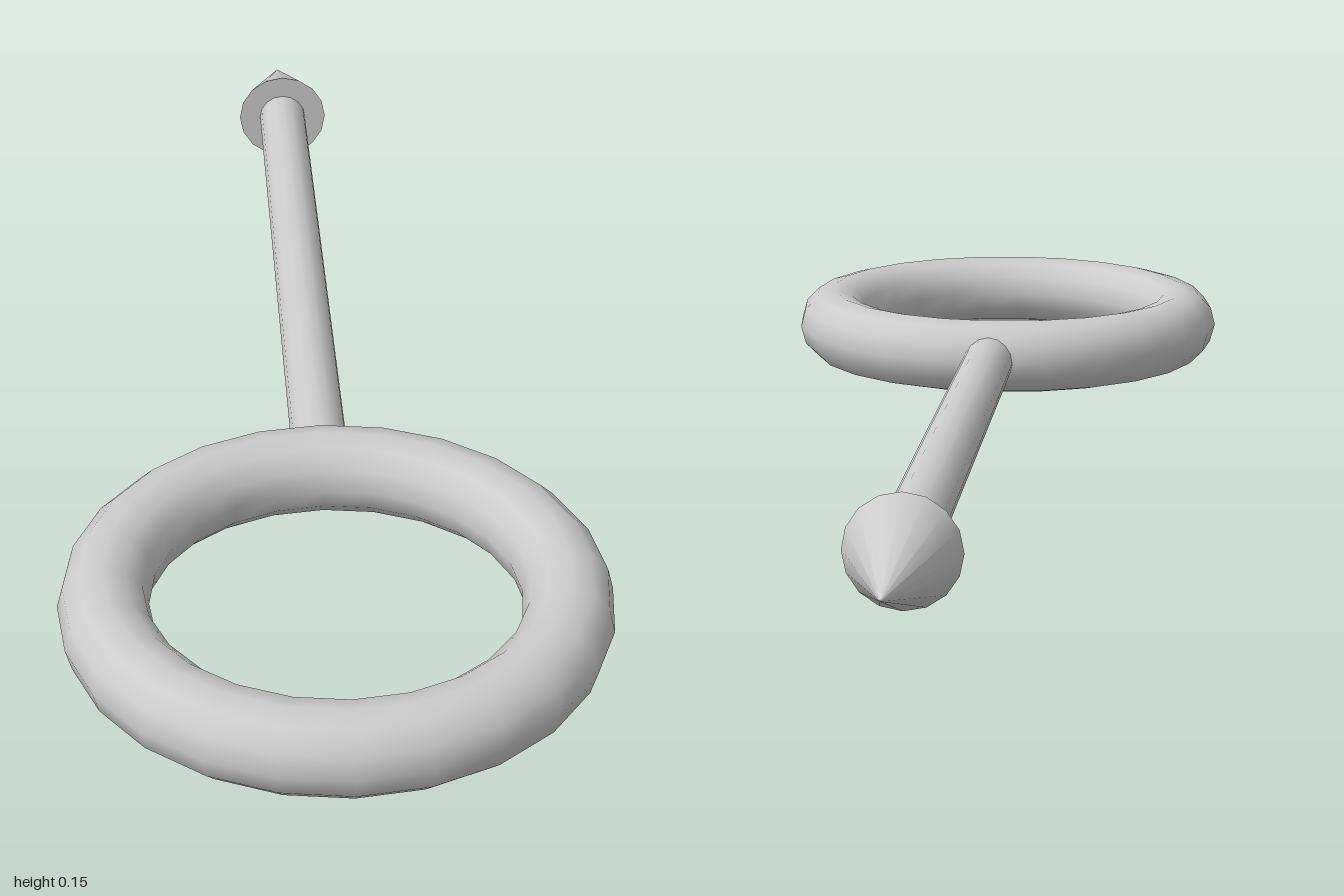
import * as THREE from 'three';

export function createModel() {
  const group = new THREE.Group();
  const material = new THREE.MeshStandardMaterial({ color: 0xcccccc });
  const axisY = 0.076;

  const addPart = (name, geometry, z) => {
    const mesh = new THREE.Mesh(geometry, material);
    mesh.name = name;
    mesh.rotation.x = -Math.PI / 2; // local +y points to the back
    mesh.position.set(0, axisY, z);
    group.add(mesh);
  };

  // Flat-lying ring handle
  addPart('ring', new THREE.TorusGeometry(0.305, 0.06, 12, 24), 0.635);

  // Rod, with its front end sunk into the ring
  const rodFront = 0.3, rodBack = -0.8;
  addPart('rod', new THREE.CylinderGeometry(0.04, 0.04, rodFront - rodBack, 16), (rodFront + rodBack) / 2);

  // Pointed tip with a closed base
  addPart('tip', new THREE.ConeGeometry(0.076, 0.2, 16), -0.9);

  return group;
}
